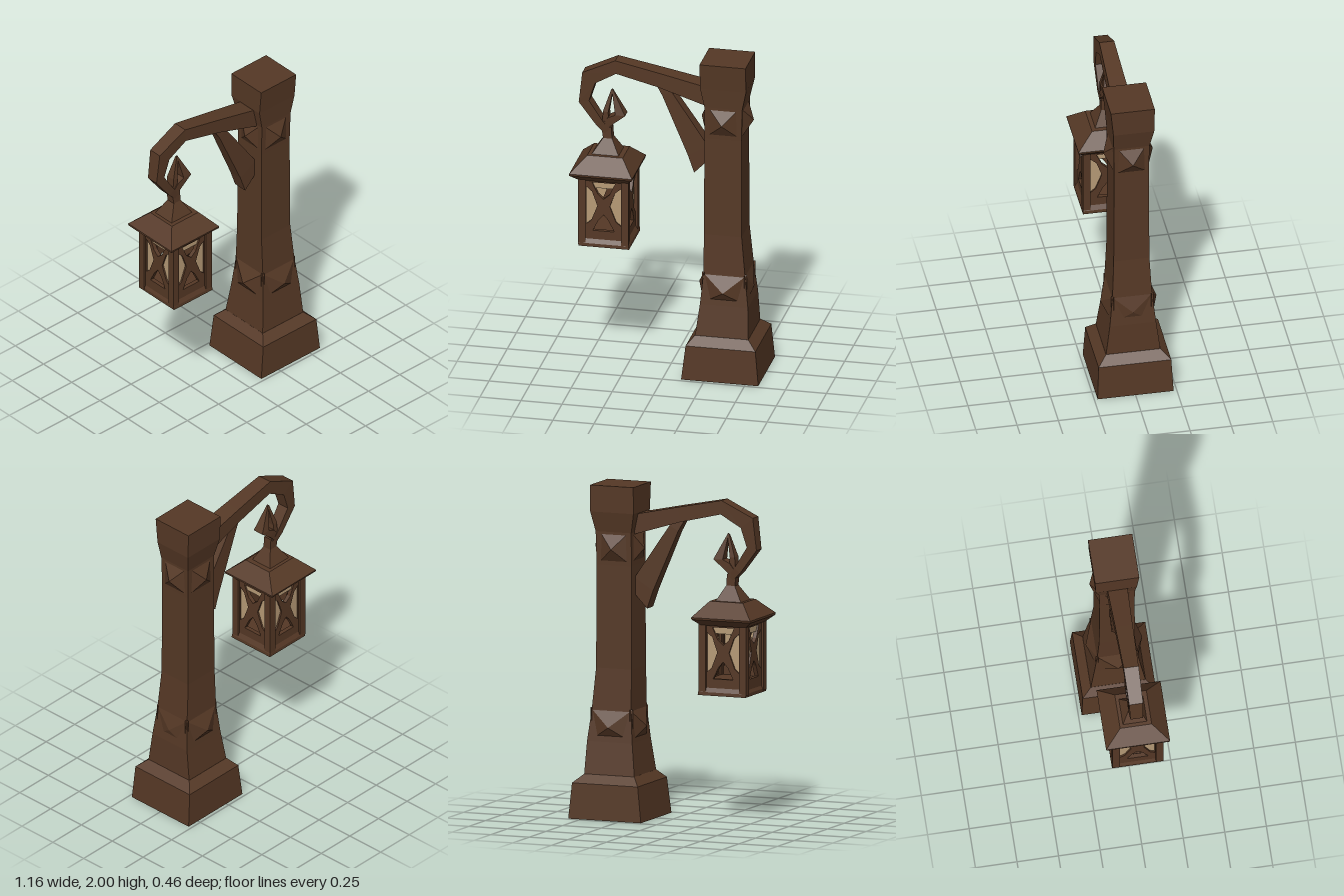
import * as THREE from 'three';

const wood = new THREE.MeshStandardMaterial({ color: 0x553825 });
wood.name = 'dark brown wood';
wood.flatShading = true;
const glass = new THREE.MeshStandardMaterial({ color: 0xb69a76, side: THREE.DoubleSide });
glass.name = 'tan glass';

// Skin a list of equal-length rings, with both ends capped
function loft(rings) {
  const pos = [];
  const tri = (...pts) => pts.forEach((p) => pos.push(...p));
  const n = rings[0].length;
  for (let i = 0; i < rings.length - 1; i++) {
    for (let j = 0; j < n; j++) {
      const k = (j + 1) % n;
      const [a, b, c, d] = [rings[i][j], rings[i][k], rings[i + 1][k], rings[i + 1][j]];
      tri(a, b, c);
      tri(a, c, d);
    }
  }
  const first = rings[0], last = rings[rings.length - 1];
  for (let j = 1; j < n - 1; j++) {
    tri(first[0], first[j + 1], first[j]);
    tri(last[0], last[j], last[j + 1]);
  }
  const g = new THREE.BufferGeometry();
  g.setAttribute('position', new THREE.Float32BufferAttribute(pos, 3));
  g.computeVertexNormals();
  return g;
}

// Horizontal rectangle from [y, x0, x1, z0, z1]
const rect = ([y, x0, x1, z0, z1]) => [[x0, y, z1], [x1, y, z1], [x1, y, z0], [x0, y, z0]];

// Rectangular beam along points [x, y, halfHeight, halfWidth]
function beam(points) {
  return loft(points.map(([x, y, h, w], i) => {
    const a = points[Math.max(i - 1, 0)], b = points[Math.min(i + 1, points.length - 1)];
    const len = Math.hypot(b[0] - a[0], b[1] - a[1]);
    const nx = -(b[1] - a[1]) / len * h, ny = (b[0] - a[0]) / len * h;
    return [[x - nx, y - ny, -w], [x + nx, y + ny, -w], [x + nx, y + ny, w], [x - nx, y - ny, w]];
  }));
}

function add(parent, name, geometry, material = wood) {
  const mesh = new THREE.Mesh(geometry, material);
  mesh.name = name;
  parent.add(mesh);
  return mesh;
}

const polygon = (pts) => new THREE.Shape(pts.map(([x, y]) => new THREE.Vector2(x, y)));
const mirror = (pts) => pts.map(([x, y]) => [-x, y]);

function createPost() {
  const post = new THREE.Group();
  post.name = 'post';
  add(post, 'base', loft([
    [0, 0.11, 0.58, -0.23, 0.23],
    [0.215, 0.135, 0.56, -0.22, 0.22],
    [0.265, 0.18, 0.505, -0.165, 0.165],
  ].map(rect)));
  add(post, 'shaft', loft([
    [0.26, 0.18, 0.505, -0.165, 0.165],
    [0.46, 0.205, 0.497, -0.14, 0.14],
    [0.65, 0.222, 0.475, -0.12, 0.12],
    [0.9, 0.222, 0.452, -0.108, 0.108],
    [1.52, 0.225, 0.45, -0.105, 0.105],
    [1.72, 0.225, 0.455, -0.108, 0.108],
    [1.84, 0.2, 0.48, -0.132, 0.115],
    [2, 0.2, 0.48, -0.136, 0.13],
  ].map(rect)));

  // Pyramid bosses on the four faces: [bottom, top, left, right, depth, peaks]
  const bosses = [
    { y0: 0.46, y1: 0.66, ym: 0.55, x0: 0.212, x1: 0.487, z: 0.128, peaks: [0.17, 0.505, 0.17] },
    { y0: 1.52, y1: 1.74, ym: 1.62, x0: 0.227, x1: 0.45, z: 0.105, peaks: [0.185, 0.503, 0.15] },
  ];
  for (const b of bosses) {
    const cx = (b.x0 + b.x1) / 2, hx = (b.x1 - b.x0) / 2;
    const faces = [
      [0, b.peaks[2], b.z, hx],
      [Math.PI / 2, b.peaks[1] - cx, hx, b.z],
      [Math.PI, b.peaks[2], b.z, hx],
      [-Math.PI / 2, cx - b.peaks[0], hx, b.z],
    ];
    for (const [turn, peak, face, half] of faces) {
      const d = face - 0.015;
      const base = [[-half, b.y0, d], [half, b.y0, d], [half, b.y1, d], [-half, b.y1, d]];
      const tip = base.map(() => [0, b.ym, peak]);
      const boss = add(post, 'boss', loft([base, tip]));
      boss.position.x = cx;
      boss.rotation.y = turn;
    }
  }
  return post;
}

function createArm() {
  const arm = new THREE.Group();
  arm.name = 'arm';
  add(arm, 'curvedBeam', beam([
    [0.26, 1.76, 0.06, 0.062],
    [-0.06, 1.842, 0.045, 0.052],
    [-0.33, 1.9, 0.042, 0.045],
    [-0.495, 1.815, 0.05, 0.042],
    [-0.525, 1.66, 0.032, 0.038],
    [-0.43, 1.525, 0.024, 0.035],
    [-0.385, 1.475, 0.02, 0.03],
  ]));
  // Curled tip with a small opening
  add(arm, 'hookCurl', beam([
    [-0.41, 1.49, 0.02, 0.03],
    [-0.365, 1.545, 0.025, 0.035],
    [-0.305, 1.585, 0.03, 0.035],
    [-0.36, 1.74, 0.003, 0.004],
  ]));
  add(arm, 'hookStrut', beam([
    [-0.395, 1.52, 0.02, 0.028],
    [-0.395, 1.6, 0.016, 0.028],
    [-0.36, 1.735, 0.006, 0.006],
  ]));
  add(arm, 'brace', beam([
    [0.232, 1.35, 0.12, 0.045],
    [0.17, 1.41, 0.07, 0.045],
    [-0.02, 1.755, 0.032, 0.035],
    [-0.06, 1.82, 0.03, 0.03],
  ]));
  return arm;
}

function createLantern() {
  const lantern = new THREE.Group();
  lantern.name = 'lantern';
  add(lantern, 'roof', loft([
    [1.2, -0.53, -0.24, -0.14, 0.155],
    [1.238, -0.58, -0.198, -0.185, 0.195],
    [1.25, -0.58, -0.197, -0.188, 0.197],
    [1.34, -0.49, -0.275, -0.09, 0.1],
  ].map(rect)));
  add(lantern, 'stem', loft([
    [1.33, -0.475, -0.3, -0.075, 0.08],
    [1.43, -0.41, -0.355, -0.025, 0.03],
    [1.5, -0.42, -0.36, -0.025, 0.028],
  ].map(rect)));
  add(lantern, 'floor', loft([
    [0.78, -0.53, -0.222, -0.145, 0.165],
    [0.8, -0.53, -0.224, -0.144, 0.164],
    [0.87, -0.49, -0.265, -0.105, 0.125],
  ].map(rect)));

  const cage = new THREE.Group();
  cage.name = 'cage';
  cage.position.set(-0.38, 0, 0.01);
  lantern.add(cage);

  // Cross-braced panel with four openings, glazed at the sides and the top
  const side = [[-0.105, 0.92], [-0.075, 0.945], [-0.038, 1.04], [-0.07, 1.13], [-0.105, 1.16]];
  const top = [[-0.07, 1.19], [-0.035, 1.115], [0, 1.085], [0.035, 1.115], [0.07, 1.19]];
  const bottom = [[-0.065, 0.88], [0.065, 0.88], [0.03, 0.95], [0, 0.985], [-0.03, 0.95]];
  const frame = polygon([[-0.135, 0.79], [0.135, 0.79], [0.135, 1.215], [-0.135, 1.215]]);
  frame.holes = [side, mirror(side), top, bottom].map(polygon);
  const panelGeometry = new THREE.ExtrudeGeometry(frame, { depth: 0.025, bevelEnabled: false });
  const glazing = new THREE.ShapeGeometry([
    polygon(side), polygon(mirror(side)),
    polygon([[-0.07, 1.19], [-0.052, 1.152], [0.052, 1.152], [0.07, 1.19]]),
  ]);
  for (let i = 0; i < 4; i++) {
    const wall = new THREE.Group();
    wall.name = 'wall';
    wall.rotation.y = i * Math.PI / 2;
    cage.add(wall);
    add(wall, 'crossPanel', panelGeometry).position.z = 0.115;
    add(wall, 'glass', glazing, glass).position.z = 0.13;
    add(wall, 'cornerPost', new THREE.BoxGeometry(0.045, 0.42, 0.045)).position.set(0.131, 1, 0.131);
  }
  return lantern;
}

export function createModel() {
  const model = new THREE.Group();
  model.name = 'lanternPost';
  model.add(createPost(), createArm(), createLantern());
  return model;
}
